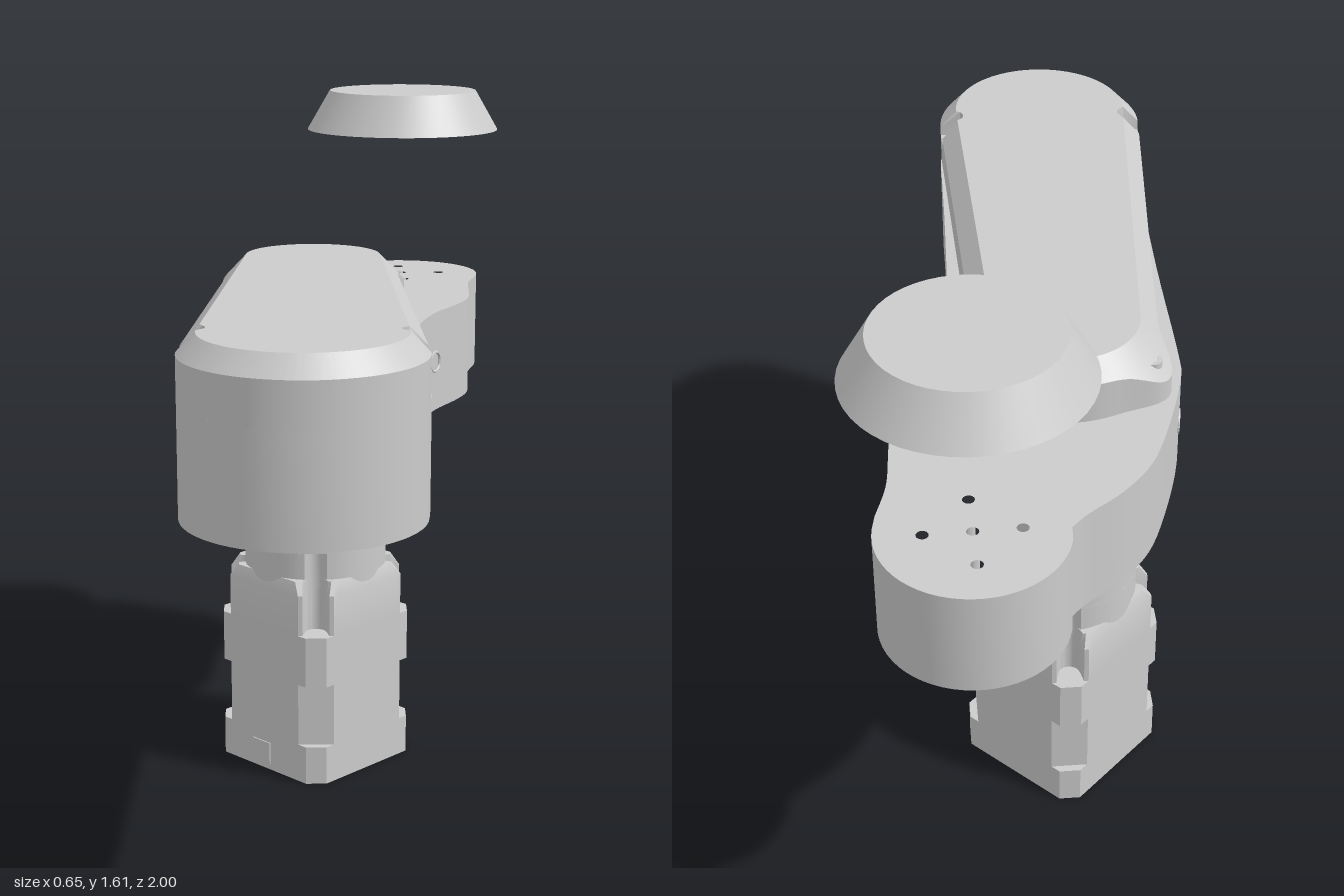
import * as THREE from 'three';
import { toCreasedNormals } from 'three/addons/utils/BufferGeometryUtils.js';

const V = (x, z) => new THREE.Vector2(x, z); // plan points: (x, z)
const material = new THREE.MeshStandardMaterial({ color: 0xcccccc });

function add(parent, name, geometry, x = 0, y = 0, z = 0) {
  const mesh = new THREE.Mesh(toCreasedNormals(geometry, 0.5), material);
  mesh.name = name;
  mesh.position.set(x, y, z);
  parent.add(mesh);
  return mesh;
}

// Plan outline (x, z) to a shape that lies flat after rotateX(-90 deg)
function planShape(points, holes = []) {
  const shape = new THREE.Shape(points.map((p) => V(p.x, -p.y)));
  for (const [x, z, r] of holes) {
    shape.holes.push(new THREE.Path().absarc(x, -z, r, 0, Math.PI * 2, true));
  }
  return shape;
}

function prism(points, y0, y1, holes) {
  const options = { depth: y1 - y0, bevelEnabled: false, curveSegments: 12 };
  return new THREE.ExtrudeGeometry(planShape(points, holes), options).rotateX(-Math.PI / 2).translate(0, y0, 0);
}

function lid(points, y) {
  return new THREE.ShapeGeometry(planShape(points)).rotateX(-Math.PI / 2).translate(0, y, 0);
}

// Skin between stacked rings of Vector3, ordered from +x towards +z
function loft(rings) {
  const n = rings[0].length, position = [], index = [];
  for (const ring of rings) for (const p of ring) position.push(p.x, p.y, p.z);
  for (let r = 0; r < rings.length - 1; r++) {
    for (let i = 0; i < n; i++) {
      const a = r * n + i, b = r * n + (i + 1) % n;
      index.push(a, a + n, b, b, a + n, b + n);
    }
  }
  const g = new THREE.BufferGeometry();
  g.setAttribute('position', new THREE.Float32BufferAttribute(position, 3));
  g.setIndex(index);
  return g;
}

const atHeight = (points, y) => points.map((p, i) => new THREE.Vector3(p.x, typeof y === 'number' ? y : y[i], p.y));

// Push plan points out of a round-ended slot that opens along dir
function cutSlots(points, slots) {
  return points.map((p) => {
    const q = p.clone();
    for (const { centre, dir, r } of slots) {
      const v = q.clone().sub(centre);
      const along = v.dot(dir), across = v.cross(dir);
      if (Math.abs(across) >= r) continue;
      const limit = -Math.sqrt(r * r - across * across);
      if (along > limit && along < 0.1) q.addScaledVector(dir, limit - along);
    }
    return q;
  });
}

function arc(cx, cz, r, a0, a1, n) {
  return Array.from({ length: n + 1 }, (_, i) => {
    const a = a0 + (a1 - a0) * i / n;
    return V(cx + r * Math.cos(a), cz + r * Math.sin(a));
  });
}

// Arm: flat waisted plate with two rounded ends
function buildArm(group) {
  const left = new THREE.SplineCurve([[-0.178, 0.7], [-0.25, 0.25], [-0.313, -0.1], [-0.322, -0.2], [-0.305, -0.36],
    [-0.275, -0.5], [-0.22, -0.6], [-0.155, -0.675], [-0.125, -0.72]].map((p) => V(...p)));
  const right = new THREE.SplineCurve([[0.27, -0.72], [0.262, -0.62], [0.275, -0.5], [0.283, -0.4], [0.265, -0.31],
    [0.225, -0.19], [0.207, -0.06], [0.215, 0.02], [0.27, 0.4], [0.315, 0.68]].map((p) => V(...p)));
  const outline = [
    ...arc(0.07, 0.75, 0.25, -0.1, Math.PI + 0.1, 32),
    ...left.getPoints(40),
    ...arc(0.07, -0.75, 0.2, Math.PI + 0.05, Math.PI * 2 - 0.05, 28),
    ...right.getPoints(40),
  ];
  const holes = [[0.07, 0.75, 0.115], [-0.15, -0.56, 0.018], [0.07, -0.75, 0.013]];
  for (let i = 0; i < 4; i++) {
    const a = i * Math.PI / 2 - 0.2;
    holes.push([0.07 + 0.1 * Math.cos(a), -0.75 + 0.1 * Math.sin(a), 0.013]);
  }
  add(group, 'arm', prism(outline, 0.89, 1.13, holes));
  add(group, 'boreCeiling', new THREE.CylinderGeometry(0.13, 0.13, 0.01, 32), 0.07, 1.12, 0.75);
  // Rimmed side bores
  for (const [x, z, turn] of [[0.226, -0.19, 1.2], [-0.322, -0.19, -1.57]]) {
    add(group, 'sideBore', new THREE.TorusGeometry(0.024, 0.004, 6, 20), x, 1.01, z).rotation.y = turn;
  }
  // Bearing under the front end
  const profile = [[0.115, 0.95], [0.115, 0.876], [0.13, 0.876], [0.133, 0.9], [0.147, 0.9], [0.15, 0.876],
    [0.165, 0.876], [0.165, 0.9]].map((p) => V(...p)).reverse();
  const bearing = add(group, 'bearing', new THREE.LatheGeometry(profile, 40), 0.07, 0, 0.75);
  bearing.material = material.clone();
  bearing.material.side = THREE.DoubleSide;
  for (const p of arc(0.07, 0.75, 0.14, 0, Math.PI * 2 * 17 / 18, 17)) {
    add(group, 'bearingBall', new THREE.SphereGeometry(0.011, 8, 6), p.x, 0.888, p.y);
  }
}

// Cover: tapered hull of two circles with chamfered rim and screw ears
function buildCover(group) {
  const front = V(0.07, 0.75), back = V(-0.07, -0.18), rf = 0.21, rb = 0.16;
  const d = back.clone().sub(front);
  const axis = Math.atan2(d.y, d.x), open = Math.acos((rf - rb) / d.length());
  const ears = [V(0.1, -0.31), V(-0.26, -0.25)];
  const inner = [], outer = [], rim = [];
  const put = (c, r, a) => {
    const n = V(Math.cos(a), Math.sin(a));
    inner.push({ p: c.clone().addScaledVector(n, r), n });
  };
  const side = (a, c0, r0, c1, r1) => {
    for (let i = 1; i < 70; i++) put(c0.clone().lerp(c1, i / 70), r0 + (r1 - r0) * i / 70, a);
  };
  for (let i = 0; i <= 64; i++) put(back, rb, axis - open + 2 * open * i / 64);
  side(axis + open, back, rb, front, rf);
  for (let i = 0; i <= 90; i++) put(front, rf, axis + open + (2 * Math.PI - 2 * open) * i / 90);
  side(axis - open, front, rf, back, rb);
  for (const { p, n } of inner) {
    let offset = 0.04;
    const base = p.clone().addScaledVector(n, offset);
    for (const e of ears) offset += 0.045 * Math.exp(-((base.distanceTo(e) / 0.065) ** 2));
    outer.push(p.clone().addScaledVector(n, offset));
    rim.push(1.262 - offset);
  }
  const slots = [V(-0.15, 0.75), V(0.28, 0.69)].map((centre) => (
    { centre, dir: centre.clone().sub(front).normalize(), r: 0.025 }));
  const top = cutSlots(inner.map((e) => e.p), slots);
  const cut = cutSlots(outer, slots);
  const floor = rim.map((y) => Math.min(y, 1.2));
  add(group, 'coverWall', loft([atHeight(outer, 1.125), atHeight(outer, floor), atHeight(cut, floor),
    atHeight(cut, rim), atHeight(top, 1.265)]));
  add(group, 'coverTop', lid(top, 1.265));
  // Screws in the ears and the front slots
  for (const [p, y] of [[ears[0], 1.205], [ears[1], 1.21], [slots[0].centre, 1.2], [slots[1].centre, 1.2]]) {
    const ring = [[0.011, -0.02], [0.011, 0.004], [0.022, 0.004], [0.022, -0.03]].map((q) => V(...q)).reverse();
    const screw = add(group, 'coverScrew', new THREE.LatheGeometry(ring, 16), p.x, y, p.y);
    screw.material = material.clone();
    screw.material.side = THREE.DoubleSide;
  }
}

// Square outline with cut corners, finely divided
function squareOutline(half, diagonal) {
  const k = diagonal * Math.SQRT2 - half, points = [];
  const corners = [[half, -k], [half, k], [k, half], [-k, half], [-half, k], [-half, -k], [-k, -half], [k, -half]];
  corners.forEach((c, i) => {
    const a = V(...c), b = V(...corners[(i + 1) % 8]);
    for (let j = 0; j < 16; j++) points.push(a.clone().lerp(b, j / 16));
  });
  return points;
}

// Motor: square body turned on its axis, flange and round column
function buildMotor(group) {
  const motor = new THREE.Group();
  motor.name = 'motor';
  motor.position.set(-0.065, 0, -0.175);
  motor.rotation.y = THREE.MathUtils.degToRad(-35);
  group.add(motor);
  const half = 0.179;
  const wide = squareOutline(half, 0.228), narrow = squareOutline(half, 0.21);
  const holes = [[0, 0, 0.03]], slots = [];
  for (const sx of [-1, 1]) {
    for (const sz of [-1, 1]) {
      holes.push([sx * 0.131, sz * 0.131, 0.017]);
      slots.push({ centre: V(sx * 0.131, sz * 0.131), dir: V(sx, sz).normalize(), r: 0.027 });
    }
  }
  add(motor, 'motorEndCap', prism(wide, 0, 0.095, holes));
  add(motor, 'motorBody', prism(narrow, 0.095, 0.25));
  add(motor, 'motorTop', prism(wide, 0.25, 0.335));
  add(motor, 'flangeBase', prism(wide, 0.335, 0.375));
  const flange = cutSlots(narrow, slots);
  const shoulder = cutSlots(squareOutline(0.168, 0.188), slots);
  add(motor, 'flange', loft([atHeight(flange, 0.37), atHeight(flange, 0.475), atHeight(shoulder, 0.505)]));
  add(motor, 'flangeTop', lid(shoulder, 0.505));
  const circle = arc(0, 0, 0.175, 0, Math.PI * 2, 160).slice(0, -1);
  add(motor, 'columnFoot', prism(cutSlots(circle, slots), 0.48, 0.57));
  add(motor, 'column', new THREE.CylinderGeometry(0.175, 0.175, 0.33, 40), 0, 0.735, 0);
  add(motor, 'socketPlate', new THREE.BoxGeometry(0.06, 0.055, 0.006), -0.01, 0.043, half);
}

export function createModel() {
  const group = new THREE.Group();
  group.name = 'motorArm';
  buildArm(group);
  buildCover(group);
  buildMotor(group);
  // Loose conical cap above the rear end
  add(group, 'cap', new THREE.CylinderGeometry(0.19, 0.248, 0.1, 48), 0.07, 1.56, -0.752);
  return group;
}
